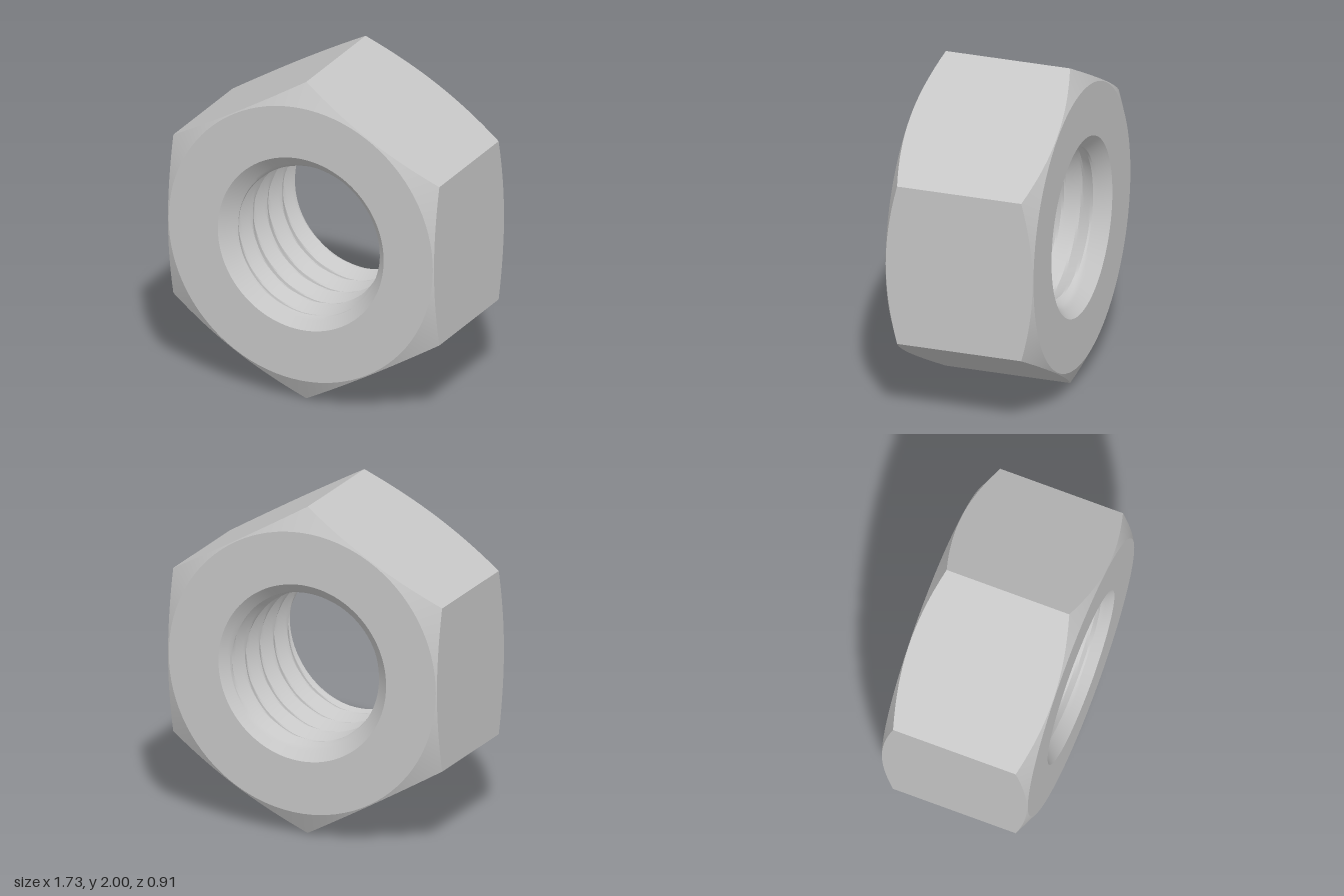
import * as THREE from 'three';
import { toCreasedNormals } from 'three/addons/utils/BufferGeometryUtils.js';

const SEGMENTS = 96;       // a multiple of 12, so the hexagon corners fall on a step
const APOTHEM = Math.sqrt(3) / 2;
const HALF = 0.455;        // half the thickness
const FLAT_RADIUS = 0.86;  // where the chamfer starts on the end faces
const BORE = 0.445, MOUTH = 0.54, THREAD_DEPTH = 0.045, PITCH = 0.19;

// Sweep a profile of [radius, z] points around the z axis; it may vary with the angle
function sweep(profile, crease) {
  const positions = [], index = [];
  let n = 0;
  for (let i = 0; i <= SEGMENTS; i++) {
    const angle = (i / SEGMENTS) * Math.PI * 2;
    const points = profile(angle);
    n = points.length;
    for (const [r, z] of points) positions.push(r * Math.cos(angle), r * Math.sin(angle), z);
  }
  for (let i = 0; i < SEGMENTS; i++) {
    for (let j = 0; j < n - 1; j++) {
      const a = i * n + j, b = a + n;
      index.push(a, b, b + 1, a, b + 1, a + 1);
    }
  }
  const geometry = new THREE.BufferGeometry();
  geometry.setAttribute('position', new THREE.Float32BufferAttribute(positions, 3));
  geometry.setIndex(index);
  return toCreasedNormals(geometry, crease);
}

// Hexagonal sides, conical corner chamfers and flat end faces
function bodyProfile(angle) {
  const sector = Math.PI / 3;
  const offset = angle - Math.round(angle / sector) * sector;
  const r = APOTHEM / Math.cos(offset);
  const edge = HALF - 0.52 * (r - FLAT_RADIUS);
  return [
    [MOUTH, -HALF], [FLAT_RADIUS, -HALF], [r, -edge],
    [r, edge], [FLAT_RADIUS, HALF], [MOUTH, HALF],
  ];
}

// Helical thread, cut away by a countersink at each mouth
function threadProfile(angle) {
  const rows = 72, points = [];
  for (let j = 0; j <= rows; j++) {
    const z = HALF - (j / rows) * 2 * HALF;
    const turn = z / PITCH - angle / (Math.PI * 2);
    const wave = Math.abs((turn - Math.floor(turn)) * 2 - 1);
    const countersink = MOUTH - (HALF - Math.abs(z));
    points.push([Math.max(BORE + THREAD_DEPTH * wave, countersink), z]);
  }
  return points;
}

export function createModel() {
  const steel = new THREE.MeshStandardMaterial({ color: 0xc6c6c6 });
  steel.name = 'steel grey';
  const group = new THREE.Group();
  group.name = 'hexNut';

  const body = new THREE.Mesh(sweep(bodyProfile, 0.3), steel);
  body.name = 'hexBody';
  const thread = new THREE.Mesh(sweep(threadProfile, 0.4), steel);
  thread.name = 'threadedBore';

  for (const part of [body, thread]) {
    part.position.y = 1;
    group.add(part);
  }
  return group;
}
